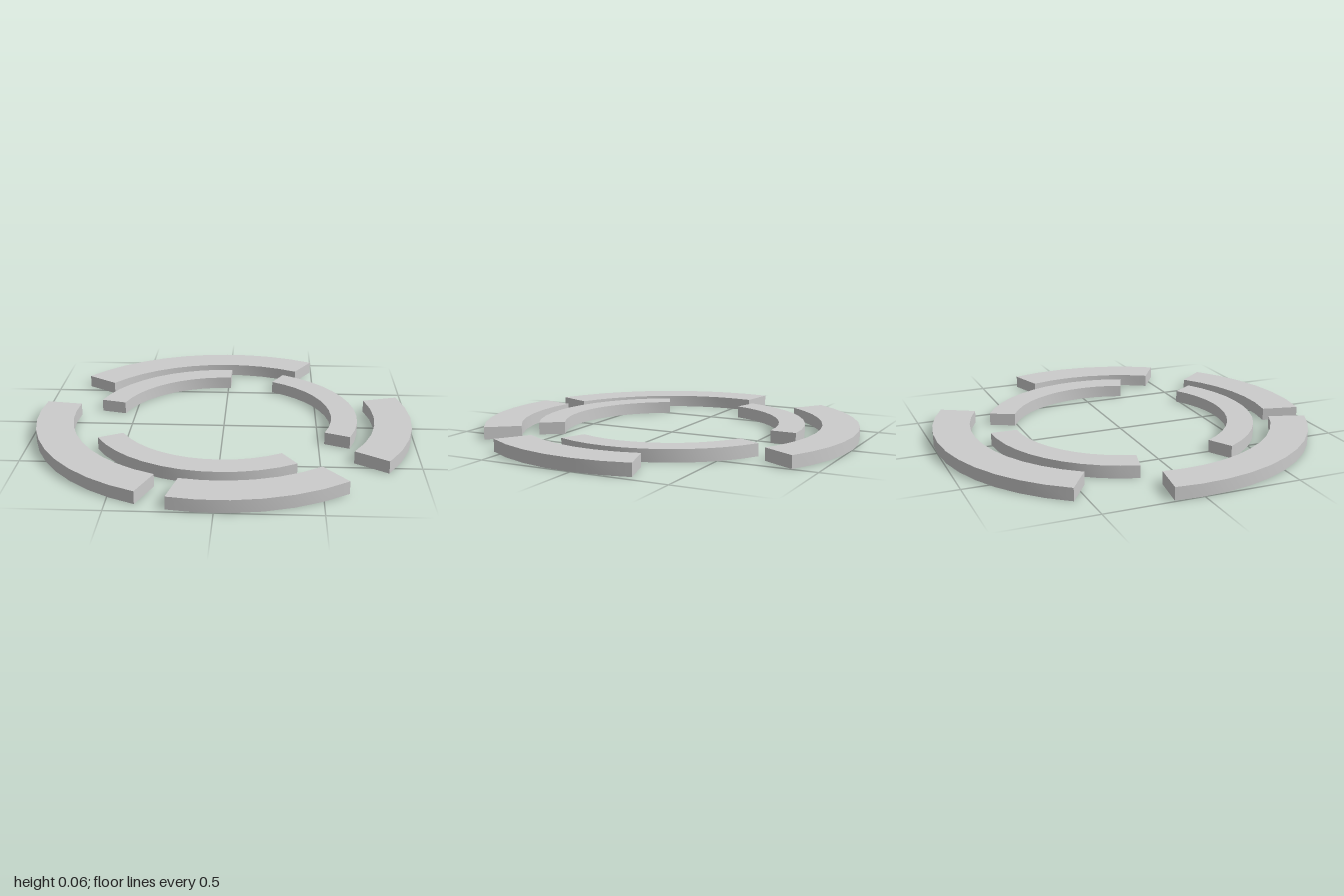
import * as THREE from 'three';
import { toCreasedNormals } from 'three/addons/utils/BufferGeometryUtils.js';

const HEIGHT = 0.065;
const STEP = 8; // approximate degrees per facet

// Flat ring sector; angles in degrees, counter-clockwise from +x seen from above
function arcSegment(inner, outer, from, to) {
  const n = Math.round((to - from) / STEP);
  const points = [];
  const add = (r, i) => {
    const a = THREE.MathUtils.degToRad(from + ((to - from) * i) / n);
    points.push(new THREE.Vector2(r * Math.cos(a), r * Math.sin(a)));
  };
  for (let i = 0; i <= n; i++) add(outer, i);
  for (let i = n; i >= 0; i--) add(inner, i);
  const geometry = new THREE.ExtrudeGeometry(new THREE.Shape(points), { depth: HEIGHT, bevelEnabled: false });
  geometry.rotateX(-Math.PI / 2);
  return toCreasedNormals(geometry, Math.PI / 6);
}

export function createModel() {
  const model = new THREE.Group();
  model.name = 'segmentedRings';
  const material = new THREE.MeshStandardMaterial({ color: 0xcccccc });

  const rings = [
    // Wide outer ring of four arcs
    { name: 'outerRing', inner: 0.805, outer: 1, arcs: {
      Back: [60.4, 145.6], Right: [171.6, 248.6], Front: [257.3, 308.5], Left: [326.1, 377.2] } },
    // Narrow inner ring of three arcs
    { name: 'innerRing', inner: 0.576, outer: 0.714, arcs: {
      BackRight: [88.7, 165.2], Front: [208.4, 302.4], Left: [337.3, 423.1] } },
  ];

  for (const { name, inner, outer, arcs } of rings) {
    const ring = new THREE.Group();
    ring.name = name;
    for (const [side, [from, to]] of Object.entries(arcs)) {
      const mesh = new THREE.Mesh(arcSegment(inner, outer, from, to), material);
      mesh.name = `${name}Arc${side}`;
      ring.add(mesh);
    }
    model.add(ring);
  }
  return model;
}
